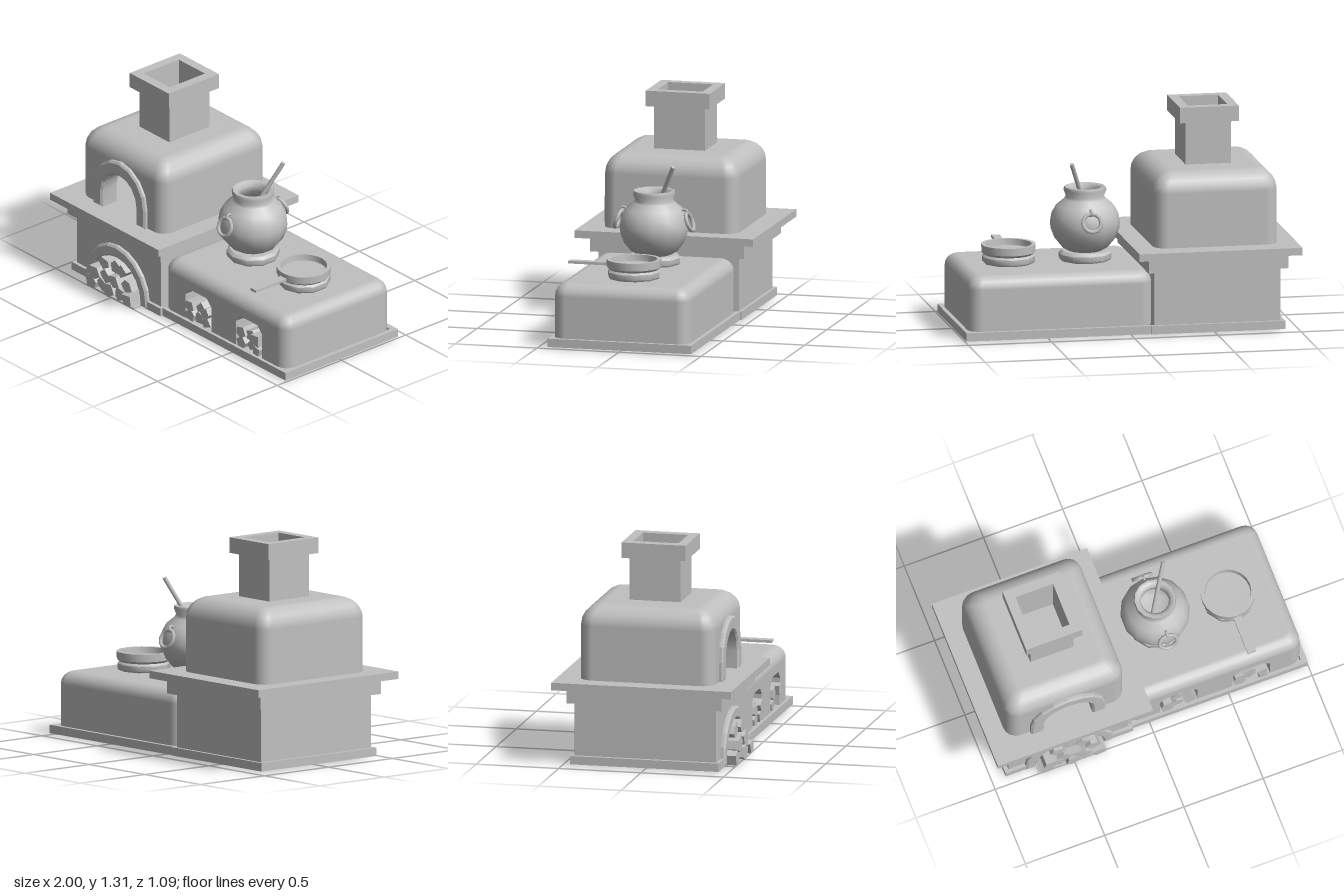
import * as THREE from 'three';
import { toCreasedNormals } from 'three/addons/utils/BufferGeometryUtils.js';

const clay = new THREE.MeshStandardMaterial({ color: 0xc0c0c0, side: THREE.DoubleSide });
clay.name = 'clay grey';

let seed = 7;
const rand = () => (seed = (seed * 16807) % 2147483647) / 2147483647;

export function createModel() {
  const model = new THREE.Group();
  const add = (name, geo, x = 0, y = 0, z = 0, parent = model) => {
    const m = new THREE.Mesh(geo, clay);
    m.name = name;
    m.position.set(x, y, z);
    parent.add(m);
    return m;
  };
  // box given by its limits on each axis
  const block = (name, x0, x1, y0, y1, z0, z1) =>
    add(name, new THREE.BoxGeometry(x1 - x0, y1 - y0, z1 - z0), (x0 + x1) / 2, (y0 + y1) / 2, (z0 + z1) / 2);
  const shapeOf = (pts) => new THREE.Shape(pts.map(([x, y]) => new THREE.Vector2(x, y)));
  const lathe = (pts, n, crease = 0.7) =>
    toCreasedNormals(new THREE.LatheGeometry(pts.map(([x, y]) => new THREE.Vector2(x, y)), n), crease);

  // round arch, from left foot to right foot
  const arch = (cx, hw, y0, spring, n = 10) => {
    const p = [[cx - hw, y0]];
    for (let i = 0; i <= n; i++) {
      const a = Math.PI * (1 - i / n);
      p.push([cx + hw * Math.cos(a), spring + hw * Math.sin(a)]);
    }
    return [...p, [cx + hw, y0]];
  };
  // square opening with clipped top corners
  const niche = (cx, hw, y0, y1, c) => [[cx - hw, y0], [cx - hw, y1 - c], [cx - hw + c, y1],
    [cx + hw - c, y1], [cx + hw, y1 - c], [cx + hw, y0]];

  // hollow rounded body, open below, with openings cut in its front wall
  function shell(name, x0, x1, z0, z1, y0, y1, r, bevel, openings, steps = 5) {
    const pos = [], nor = [], idx = [];
    const cx = (x0 + x1) / 2, cz = (z0 + z1) / 2, n = 4, count = 4 * (n + 1);
    const rings = [[y0, 0]];
    for (let k = 0; k <= steps; k++) rings.push([null, (k / steps) * Math.PI / 2]);
    for (const [yy, b] of rings) {
      const inset = bevel * (1 - Math.cos(b)), rc = r * (0.3 + 0.7 * Math.cos(b));
      const hx = (x1 - x0) / 2 - inset - rc, hz = (z1 - z0) / 2 - inset - rc;
      [[1, 1], [1, -1], [-1, -1], [-1, 1]].forEach(([sx, sz], c) => {
        for (let i = 0; i <= n; i++) {
          const a = Math.PI / 2 * (1 - c - i / n);
          pos.push(cx + sx * hx + rc * Math.cos(a), yy ?? y1 - bevel + bevel * Math.sin(b), cz + sz * hz + rc * Math.sin(a));
          nor.push(Math.cos(a) * Math.cos(b), Math.sin(b), Math.sin(a) * Math.cos(b));
        }
      });
    }
    for (let k = 0; k < rings.length - 1; k++)
      for (let i = 0; i < count; i++) {
        if (k === 0 && i === count - 1) continue; // front wall is separate
        const j = (i + 1) % count, a = k * count + i, b = k * count + j;
        idx.push(a, b, b + count, a, b + count, a + count);
      }
    const top = (rings.length - 1) * count;
    for (let i = 1; i < count - 1; i++) idx.push(top, top + i, top + i + 1);
    const g = new THREE.BufferGeometry();
    g.setAttribute('position', new THREE.Float32BufferAttribute(pos, 3));
    g.setAttribute('normal', new THREE.Float32BufferAttribute(nor, 3));
    g.setIndex(idx);
    add(name, g);
    const wall = [[x0 + r, y0], ...openings.flat(), [x1 - r, y0], [x1 - r, y1 - bevel], [x0 + r, y1 - bevel]];
    add(name + 'Front', new THREE.ShapeGeometry(shapeOf(wall)), 0, 0, z1);
  }

  // inner walls of an opening, running back from the front
  function lining(name, pts, z1, depth) {
    const pos = [], idx = [];
    pts.forEach(([x, y], i) => {
      pos.push(x, y, z1, x, y, z1 - depth);
      if (i) idx.push(2 * i - 2, 2 * i - 1, 2 * i + 1, 2 * i - 2, 2 * i + 1, 2 * i);
    });
    const g = new THREE.BufferGeometry();
    g.setAttribute('position', new THREE.Float32BufferAttribute(pos, 3));
    g.setIndex(idx);
    add(name, toCreasedNormals(g, 0.6));
  }

  // raised arch surround
  const surround = (name, outer, inner, z0, z1) => add(name, new THREE.ExtrudeGeometry(
    shapeOf([...outer, ...inner.slice().reverse()]),
    { depth: z1 - z0 - 0.01, bevelThickness: 0.01, bevelSize: 0.012, bevelOffset: -0.012, bevelSegments: 1 }), 0, 0, z0);

  // split firewood stacked in rows of [count, height, half width]
  function logs(cx, rows, size, z0, z1) {
    const pile = new THREE.Group();
    pile.name = 'firewood';
    model.add(pile);
    for (const [n, y, hw] of rows)
      for (let i = 0; i < n; i++) {
        const turn = rand() * 6.28, sides = 4 + Math.floor(rand() * 2), pts = [];
        for (let k = 0; k < sides; k++) {
          const a = turn + (k + 0.35 * rand()) / sides * Math.PI * 2, s = size * (0.85 + 0.3 * rand());
          pts.push([s * Math.cos(a) * 1.1, Math.max(s * Math.sin(a), -size * 0.9)]);
        }
        const len = z1 - z0 - (i % 2) * 0.02 - rand() * 0.015;
        add('log', new THREE.ExtrudeGeometry(shapeOf(pts), { depth: len, bevelEnabled: false }),
          cx + (n > 1 ? -hw + 2 * hw * i / (n - 1) : 0), y, z0, pile);
      }
  }

  // oven base with fire arch
  const ox = -0.51;
  const fire = arch(ox, 0.215, 0.01, 0.03);
  shell('ovenBase', -0.89, -0.13, -0.43, 0.43, 0.01, 0.4, 0.002, 0.001, [fire], 1);
  lining('fireArchLining', fire, 0.45, 0.17);
  surround('fireArchSurround', arch(ox, 0.28, 0.01, 0.04), fire, 0.425, 0.457);
  block('fireFloor', ox - 0.215, ox + 0.215, 0, 0.008, 0.29, 0.5);
  logs(ox, [[5, 0.045, 0.165], [4, 0.115, 0.13]], 0.046, 0.3, 0.52);
  logs(ox, [[3, 0.182, 0.078]], 0.043, 0.3, 0.49);

  // oven plinth, broken at the fire arch
  block('ovenPlinthBack', -0.915, -0.11, 0.01, 0.06, -0.45, -0.42);
  block('ovenPlinthSide', -0.915, -0.88, 0.01, 0.06, -0.42, 0.42);
  block('ovenPlinthFront', -0.915, -0.77, 0.01, 0.06, 0.42, 0.45);
  block('ovenPlinthFront', -0.25, -0.11, 0.01, 0.06, 0.42, 0.45);

  // worktop slabs
  block('lowerSlab', -0.93, -0.09, 0.38, 0.47, -0.47, 0.47);
  block('worktop', -1, -0.02, 0.47, 0.515, -0.545, 0.545);

  // dome with door
  const door = arch(ox, 0.152, 0.515, 0.625, 8);
  shell('ovenDome', -0.885, -0.14, -0.41, 0.41, 0.515, 0.962, 0.08, 0.12, [door]);
  lining('doorLining', door, 0.42, 0.1);
  surround('doorSurround', arch(ox, 0.235, 0.515, 0.63, 8), door, 0.4, 0.435);

  // hollow chimney and its cap
  const tube = (name, hx, hz, y0, y1, kx, kz) => {
    const s = shapeOf([[-hx, -hz], [hx, -hz], [hx, hz], [-hx, hz]]);
    s.holes.push(new THREE.Path([[-kx, -kz], [-kx, kz], [kx, kz], [kx, -kz]].map((p) => new THREE.Vector2(...p))));
    add(name, new THREE.ExtrudeGeometry(s, { depth: y1 - y0, bevelEnabled: false }), ox, y0, 0).rotation.x = -Math.PI / 2;
  };
  tube('chimney', 0.136, 0.155, 0.95, 1.225, 0.118, 0.137);
  tube('chimneyCap', 0.177, 0.195, 1.22, 1.313, 0.118, 0.137);

  // stove with two fire niches
  const sx = [0.19, 0.648];
  const niches = sx.map((x) => niche(x, 0.118, 0.06, 0.263, 0.045));
  shell('stove', -0.13, 0.975, -0.415, 0.415, 0.06, 0.385, 0.075, 0.075, niches);
  niches.forEach((n, i) => {
    lining('nicheLining', n, 0.415, 0.13);
    block('nicheFloor', sx[i] - 0.118, sx[i] + 0.118, 0.052, 0.06, 0.24, 0.42);
    logs(sx[i], [[3, 0.098, 0.07], [3, 0.16, 0.068]], 0.04, 0.26, 0.43);
  });
  block('stovePlinthFront', -0.11, 1, 0.01, 0.06, 0.405, 0.435);
  block('stovePlinthBack', -0.11, 1, 0.01, 0.06, -0.44, -0.405);
  block('stovePlinthSide', 0.965, 1, 0.01, 0.06, -0.405, 0.405);

  // burner rings
  const px = 0.2, fx = 0.66;
  for (const x of [px, fx])
    add('burner', lathe([[0, 0.375], [0.14, 0.375], [0.157, 0.395], [0.157, 0.425], [0.14, 0.442], [0, 0.442]], 10), x);

  // pot
  add('pot', lathe([[0, 0.44], [0.1, 0.442], [0.14, 0.465], [0.18, 0.515], [0.202, 0.57], [0.207, 0.61], [0.198, 0.665],
    [0.17, 0.715], [0.125, 0.752], [0.113, 0.768], [0.127, 0.806], [0.122, 0.824], [0.1, 0.824], [0.083, 0.8],
    [0.085, 0.765], [0.14, 0.715], [0.175, 0.62], [0.14, 0.51], [0, 0.48]], 14, 1.2), px);

  // ring handles front and back
  for (const s of [1, -1]) {
    const handle = new THREE.Group();
    handle.name = 'ringHandle';
    handle.position.set(px, 0, 0);
    if (s < 0) handle.rotation.y = Math.PI;
    model.add(handle);
    add('ring', new THREE.TorusGeometry(0.055, 0.012, 6, 12), 0, 0.645, 0.217, handle).rotation.x = -0.37;
    add('ringLoop', new THREE.TorusGeometry(0.018, 0.008, 6, 8), 0, 0.7, 0.186, handle).rotation.y = Math.PI / 2;
  }

  // ladle leaning in the pot
  const tip = new THREE.Vector3(0.308, 0.99, -0.145), end = new THREE.Vector3(0.165, 0.6, 0.035);
  const dir = tip.clone().sub(end), mid = tip.clone().add(end).multiplyScalar(0.5);
  add('ladleHandle', new THREE.CylinderGeometry(0.013, 0.013, dir.length(), 8), mid.x, mid.y, mid.z)
    .quaternion.setFromUnitVectors(new THREE.Vector3(0, 1, 0), dir.normalize());
  add('ladleBowl', new THREE.SphereGeometry(0.045, 10, 6), end.x, end.y, end.z).scale.y = 0.6;

  // pan with handle
  add('pan', lathe([[0, 0.438], [0.145, 0.438], [0.16, 0.452], [0.162, 0.498], [0.138, 0.498], [0.135, 0.46], [0, 0.458]], 20), fx);
  block('panHandle', fx - 0.025, fx + 0.025, 0.455, 0.471, 0.14, 0.395);

  return model;
}
